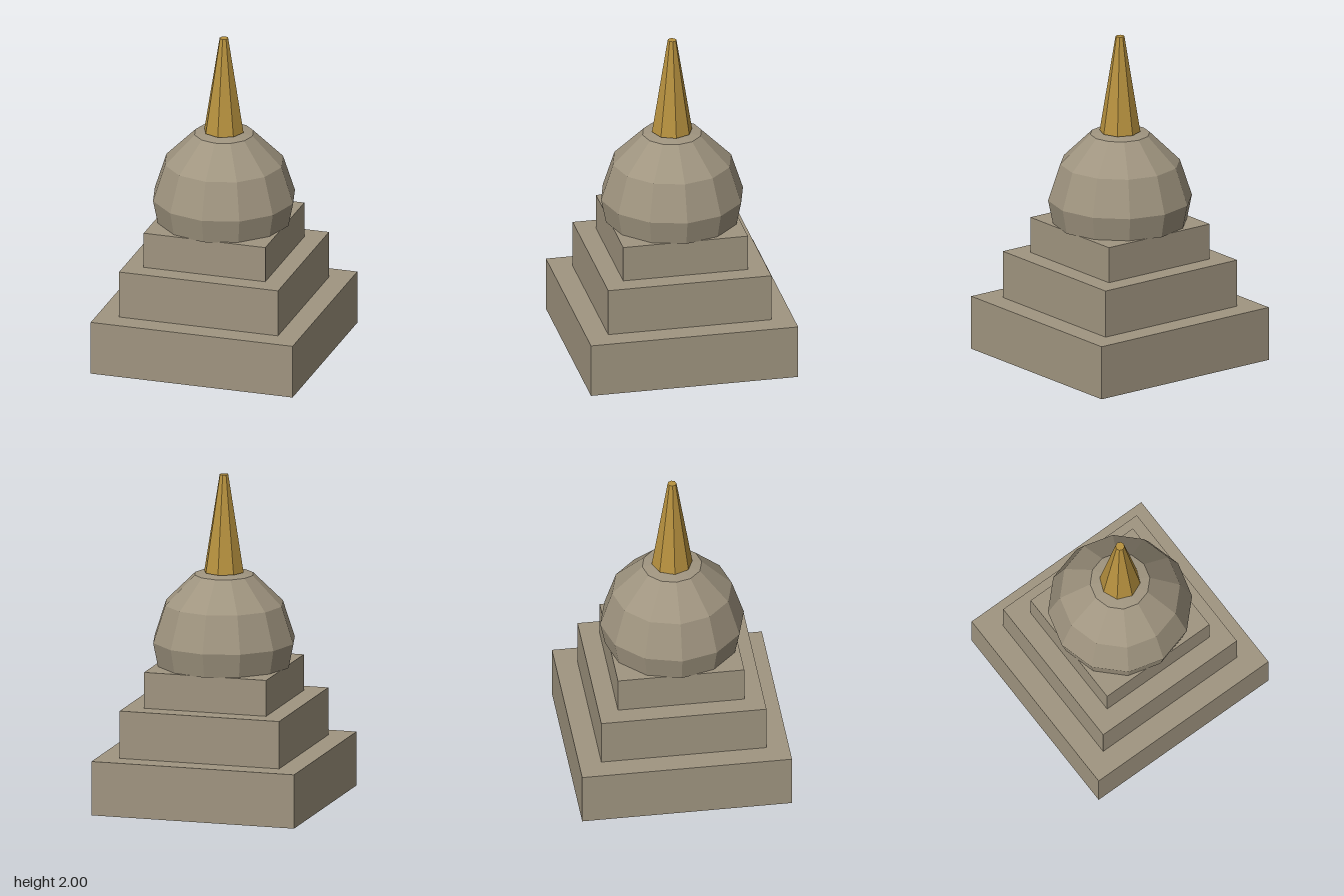
import * as THREE from 'three';

export function createModel() {
  const model = new THREE.Group();
  model.name = 'stupa';

  const stone = new THREE.MeshStandardMaterial({ color: 0xa09580, flatShading: true });
  stone.name = 'stone';
  const gold = new THREE.MeshStandardMaterial({ color: 0xb8923f, flatShading: true });
  gold.name = 'gold';

  const add = (name, geometry, material, y = 0) => {
    const mesh = new THREE.Mesh(geometry, material);
    mesh.name = name;
    mesh.position.y = y;
    model.add(mesh);
  };

  // Three square terraces: name, width, bottom, top
  const terraces = [
    ['lowerTerrace', 1.27, 0, 0.33],
    ['middleTerrace', 1.0, 0.33, 0.62],
    ['upperTerrace', 0.765, 0.62, 0.84],
  ];
  for (const [name, width, bottom, top] of terraces) {
    add(name, new THREE.BoxGeometry(width, top - bottom, width), stone, (bottom + top) / 2);
  }

  // Twelve-sided dome, closed underneath
  const profile = [
    [0, 0.837], [0.405, 0.837], [0.435, 0.985], [0.362, 1.21], [0.18, 1.39], [0, 1.415],
  ].map(([r, y]) => new THREE.Vector2(r, y));
  add('dome', new THREE.LatheGeometry(profile, 12), stone);

  // Eight-sided tapering spire
  const spireBase = 1.405;
  const spireHeight = 2 - spireBase;
  add('spire', new THREE.CylinderGeometry(0.027, 0.123, spireHeight, 8), gold, spireBase + spireHeight / 2);

  return model;
}
